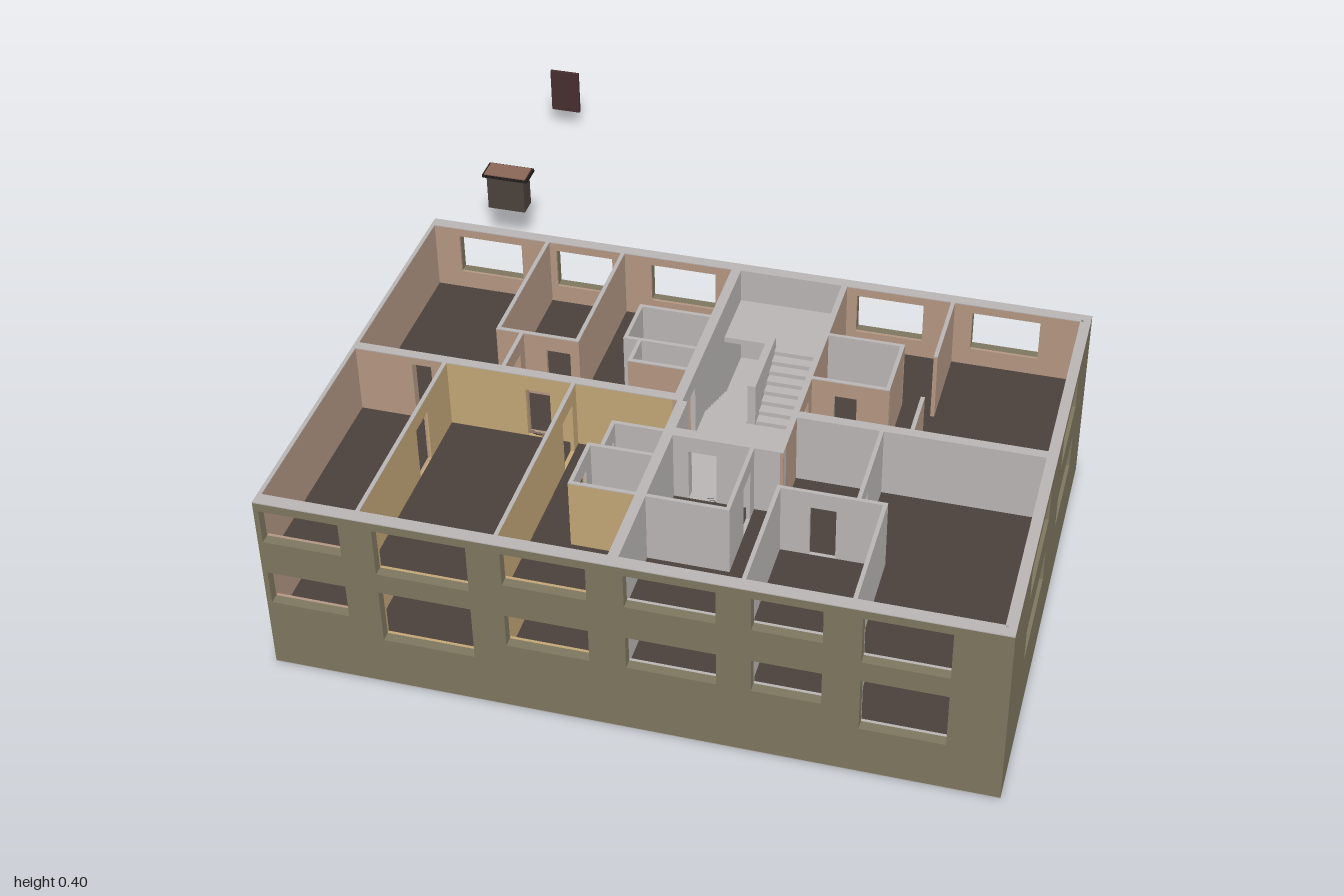
import * as THREE from 'three';

const mat = (name, color) => Object.assign(new THREE.MeshStandardMaterial({ color }), { name });
const M = {
  olive: mat('olive facade', 0x7d765f),
  pink: mat('pink plaster', 0xb39682),
  tan: mat('tan plaster', 0xc2a676),
  grey: mat('light grey plaster', 0xb9b5b5),
  floor: mat('dark wood floor', 0x4b413b),
  maroon: mat('maroon door', 0x472e30),
  brown: mat('brown lid', 0x8a6758),
  black: mat('black trim', 0x241e1e),
};
const H = 0.4, CAP = 0.002;
const FLOORS = [0.1, 0.25];

export function createModel() {
  const root = new THREE.Group();
  root.name = 'apartmentBlock';

  // box given by its minimum and maximum corners
  const box = (name, m, x0, x1, y0, y1, z0, z1, parent = root) => {
    const mesh = new THREE.Mesh(new THREE.BoxGeometry(x1 - x0, y1 - y0, z1 - z0), m);
    mesh.position.set((x0 + x1) / 2, (y0 + y1) / 2, (z0 + z1) / 2);
    mesh.name = name;
    parent.add(mesh);
    return mesh;
  };

  // upright panel along x or z with rectangular holes [a0, a1, y0, y1]
  const panel = (name, m, axis, a0, a1, p0, p1, holes = []) => {
    const s = new THREE.Shape();
    s.moveTo(a0, CAP).lineTo(a1, CAP).lineTo(a1, H - CAP).lineTo(a0, H - CAP).closePath();
    for (const [h0, h1, y0, y1] of holes) {
      const mid = (h0 + h1) / 2;
      if (mid < a0 || mid > a1) continue;
      const p = new THREE.Path();
      p.moveTo(h0, y0).lineTo(h0, y1).lineTo(h1, y1).lineTo(h1, y0).closePath();
      s.holes.push(p);
    }
    const t = p1 - p0, c = (p0 + p1) / 2;
    const g = new THREE.ExtrudeGeometry(s, { depth: t, bevelEnabled: false });
    g.translate(0, 0, -t / 2);
    if (axis === 'z') g.rotateY(-Math.PI / 2).translate(c, 0, 0);
    else g.translate(0, 0, c);
    const mesh = new THREE.Mesh(g, m);
    mesh.name = name;
    root.add(mesh);
    // grey cut edges at top and bottom
    for (const y of [0, H - CAP]) {
      if (axis === 'x') box('wallCap', M.grey, a0, a1, y, y + CAP, p0, p1);
      else box('wallCap', M.grey, p0, p1, y, y + CAP, a0, a1);
    }
  };

  // wall with one colour on each side
  const wall = (name, axis, a0, a1, p0, p1, low, high = low, holes = []) => {
    if (low === high) return panel(name, low, axis, a0, a1, p0, p1, holes);
    const c = (p0 + p1) / 2;
    panel(name, low, axis, a0, a1, p0, c, holes);
    panel(name, high, axis, a0, a1, c, p1, holes);
  };
  // the same opening on both storeys
  const both = (a0, a1, lo, hi) => [[a0, a1, lo, hi], [a0, a1, lo + 0.15, hi + 0.15]];
  const door = (a0, a1) => both(a0, a1, 0.1, 0.215);

  // facades with windows, lined inside in the room colours
  const frontWin = [
    ...both(-0.65, -0.495, 0.155, 0.23), ...both(-0.185, -0.025, 0.155, 0.23),
    ...both(0.045, 0.215, 0.155, 0.23), ...both(0.28, 0.41, 0.155, 0.23),
    [-0.43, -0.25, 0.11, 0.23], [-0.43, -0.25, 0.275, 0.38],
    [0.48, 0.64, 0.11, 0.23], [0.48, 0.64, 0.275, 0.38],
  ];
  const backWin = [[0.506, 0.645], [0.266, 0.405], [-0.174, -0.035], [-0.382, -0.259], [-0.598, -0.459]]
    .flatMap(([a, b]) => both(a, b, 0.14, 0.23));
  backWin.push([0.058, 0.205, 0.02, 0.145]);
  const sideWin = [...both(0.575, 0.8, 0.157, 0.23), ...both(0.225, 0.42, 0.157, 0.23)];

  panel('frontFacade', M.olive, 'x', -0.66, 0.745, 0.98, 1, frontWin);
  for (const [a, b, m] of [[-0.652, -0.465, M.pink], [-0.465, -0.2, M.tan], [-0.2, 0.015, M.tan], [0.015, 0.725, M.grey]])
    panel('frontLining', m, 'x', a, b, 0.974, 0.98, frontWin);
  panel('backFacade', M.olive, 'x', -0.66, 0.745, 0.042, 0.06, backWin);
  for (const [a, b, m] of [[-0.652, 0.01, M.pink], [0.01, 0.24, M.grey], [0.24, 0.725, M.pink]])
    panel('backLining', m, 'x', a, b, 0.06, 0.066, backWin);
  panel('sideFacade', M.olive, 'z', 0.06, 0.98, 0.73, 0.745, sideWin);
  panel('sideLining', M.pink, 'z', 0.066, 0.5, 0.724, 0.73, sideWin);
  panel('sideLining', M.grey, 'z', 0.5, 0.974, 0.724, 0.73, sideWin);
  panel('partyWall', M.pink, 'z', 0.06, 0.98, -0.66, -0.652);

  // walls between apartments and around the stairwell
  wall('middleWall', 'x', -0.652, -0.465, 0.495, 0.515, M.pink, M.pink, both(-0.535, -0.495, 0.1, 0.232));
  wall('middleWall', 'x', -0.465, 0, 0.495, 0.515, M.pink, M.tan, door(-0.3, -0.25));
  wall('middleWall', 'x', 0.245, 0.724, 0.49, 0.51, M.pink, M.grey);
  wall('stairWall', 'z', 0.066, 0.515, 0, 0.02, M.pink, M.grey, door(0.425, 0.475));
  wall('stairWall', 'z', 0.066, 0.62, 0.233, 0.245, M.grey, M.pink, door(0.41, 0.465));
  wall('stairWall', 'x', 0.02, 0.245, 0.597, 0.62, M.grey, M.grey, door(0.06, 0.115));
  wall('apartmentWall', 'z', 0.515, 0.974, 0.01, 0.03, M.tan, M.grey);

  // thin partitions: [axis, start, end, centre, low colour, high colour, doors]
  const { pink, tan, grey } = M;
  const partitions = [
    ['z', 0.066, 0.38, -0.4, pink, pink], ['z', 0.066, 0.38, -0.235, pink, pink],
    ['x', -0.404, -0.231, 0.38, pink, pink, door(-0.3, -0.25)], ['z', 0.384, 0.495, -0.35, pink, pink, door(0.41, 0.46)],
    ['x', -0.149, 0, 0.235, pink, grey], ['z', 0.239, 0.341, -0.145, pink, grey],
    ['x', -0.149, 0, 0.345, grey, grey], ['z', 0.349, 0.411, -0.115, pink, grey, door(0.36, 0.4)],
    ['x', -0.119, 0, 0.415, grey, pink],
    ['x', 0.245, 0.399, 0.235, pink, grey], ['x', 0.245, 0.399, 0.38, grey, pink, door(0.29, 0.335)],
    ['z', 0.239, 0.376, 0.395, grey, pink],
    ['z', 0.066, 0.255, 0.465, pink, pink], ['z', 0.387, 0.49, 0.465, pink, pink],
    ['z', 0.515, 0.974, -0.465, pink, tan, door(0.63, 0.69)], ['z', 0.515, 0.974, -0.2, tan, tan, door(0.54, 0.6)],
    ['x', -0.094, 0.01, 0.61, tan, grey], ['z', 0.614, 0.681, -0.09, tan, grey, door(0.625, 0.67)],
    ['x', -0.119, 0.01, 0.685, grey, grey], ['z', 0.689, 0.796, -0.115, tan, grey, door(0.72, 0.77)],
    ['x', -0.119, 0.01, 0.8, grey, tan],
    ['z', 0.62, 0.796, 0.185, grey, grey, door(0.65, 0.7)], ['x', 0.03, 0.189, 0.8, grey, grey],
    ['z', 0.51, 0.711, 0.41, grey, grey, door(0.65, 0.7)], ['x', 0.256, 0.464, 0.715, grey, grey, door(0.32, 0.37)],
    ['z', 0.719, 0.974, 0.26, grey, grey], ['z', 0.719, 0.974, 0.46, grey, grey],
  ];
  for (const [axis, a, b, c, low, high, doors] of partitions)
    wall('partition', axis, a, b, c - 0.004, c + 0.004, low, high, doors);

  // storey floors with grey ceilings beneath
  for (const y of FLOORS) {
    for (const [x0, x1, z0, z1] of [[-0.656, 0.01, 0.062, 0.978], [0.24, 0.728, 0.062, 0.978], [0.01, 0.24, 0.61, 0.978]]) {
      box('floor', M.floor, x0, x1, y - 0.006, y, z0, z1);
      box('ceiling', M.grey, x0, x1, y - 0.013, y - 0.006, z0, z1);
    }
    // stair landing of the storey
    box('landing', M.grey, 0.02, 0.234, y - 0.012, y, 0.37, 0.6);
  }
  for (const y of [0.025, 0.175, 0.325]) box('halfLanding', M.grey, 0.02, 0.234, y - 0.012, y, 0.064, 0.2);

  // two flights per storey
  const steps = 8, run = 0.17 / steps, rise = 0.075 / steps;
  for (const y of FLOORS) {
    for (let i = 0; i < steps; i++) {
      const up = y + (i + 1) * rise, down = y - i * rise;
      const z = 0.37 - (i + 1) * run;
      box('upperFlightStep', M.grey, 0.13, 0.234, up - 0.016, up, z, z + run);
      box('lowerFlightStep', M.grey, 0.02, 0.11, down - 0.016, down, z, z + run);
    }
  }
  box('stairDivider', M.grey, 0.112, 0.128, 0.02, 0.345, 0.2, 0.37);

  // entrance door in the back facade, half open
  const entrance = new THREE.Group();
  entrance.name = 'entranceDoor';
  root.add(entrance);
  for (const x of [0.058, 0.195]) box('doorJamb', M.maroon, x, x + 0.01, 0.02, 0.145, 0.038, 0.068, entrance);
  box('doorHead', M.maroon, 0.058, 0.205, 0.135, 0.145, 0.038, 0.068, entrance);
  box('doorLeaf', M.maroon, 0.068, 0.125, 0.02, 0.135, 0.042, 0.05, entrance);
  box('doorLeafEdge', M.maroon, 0.172, 0.195, 0.02, 0.135, 0.042, 0.05, entrance);

  // dark slab ends showing on the party wall
  for (const y of FLOORS) for (const z of [0.1, 0.2, 0.3, 0.4, 0.6, 0.8])
    box('slabEnd', M.floor, -0.662, -0.66, y - 0.006, y, z, z + 0.05);
  box('wallJoint', M.floor, -0.662, -0.66, 0.02, 0.395, 0.5, 0.506);

  // free standing cabinet behind the building
  const cabinet = new THREE.Group();
  cabinet.name = 'cabinet';
  root.add(cabinet);
  box('cabinetBody', M.floor, -0.725, -0.635, 0.11, 0.195, -0.48, -0.435, cabinet);
  box('cabinetLid', M.black, -0.735, -0.625, 0.194, 0.202, -0.488, -0.433, cabinet);
  box('cabinetTop', M.brown, -0.73, -0.63, 0.202, 0.205, -0.483, -0.433, cabinet);

  // free standing door
  const loose = new THREE.Group();
  loose.name = 'looseDoor';
  root.add(loose);
  box('looseDoorLeaf', M.maroon, -0.75, -0.677, 0.053, 0.165, -0.994, -0.986, loose);
  box('looseDoorHandle', M.black, -0.737, -0.722, 0.104, 0.108, -1, -0.994, loose);

  return root;
}
